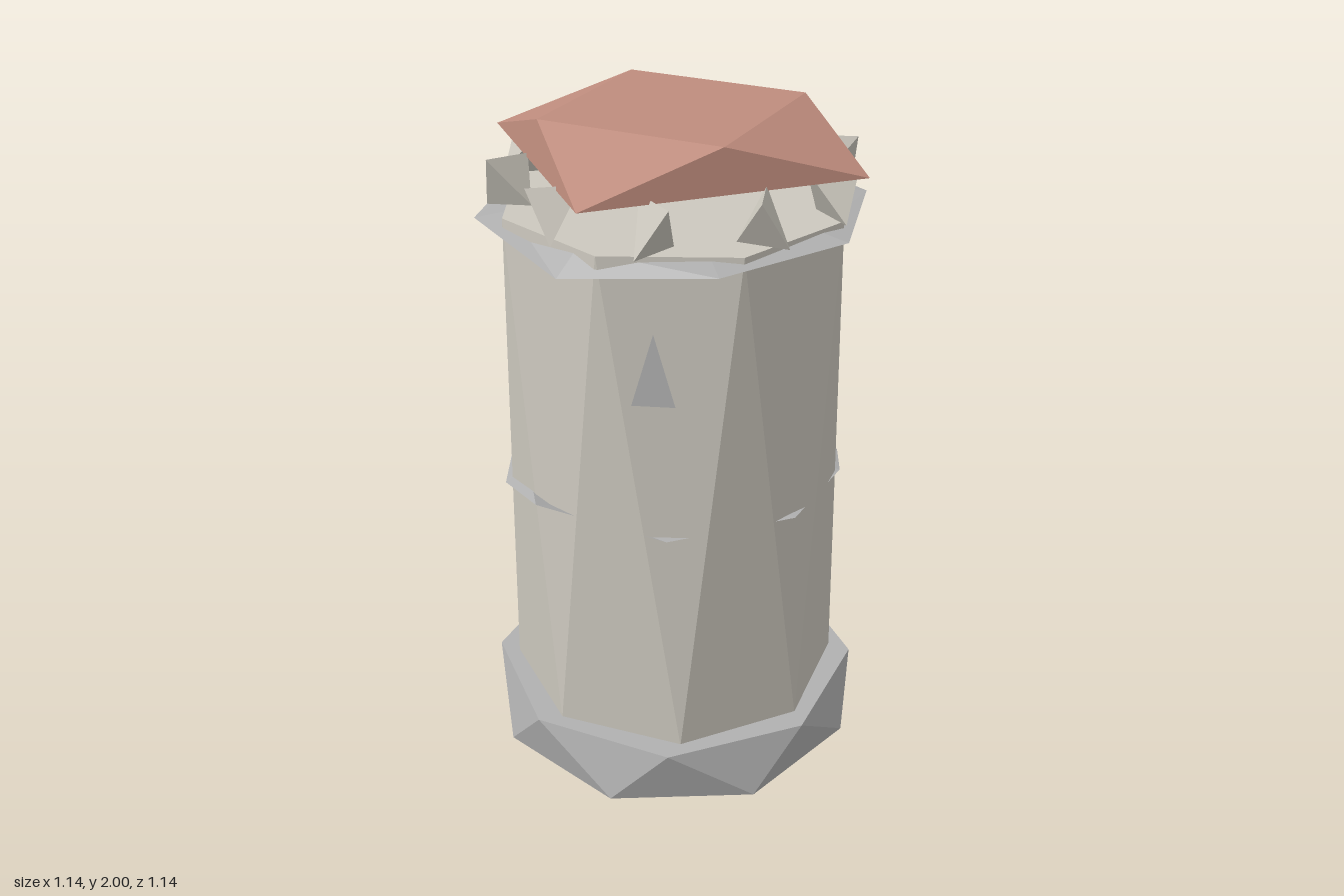
import * as THREE from 'three';
import { ConvexGeometry } from 'three/addons/geometries/ConvexGeometry.js';

const material = (color) => new THREE.MeshStandardMaterial({ color, flatShading: true, side: THREE.DoubleSide });

// Point on a circle; the angle runs in degrees from the front (+z) towards +x
function polar(angle, radius, y) {
  const a = THREE.MathUtils.degToRad(angle);
  return new THREE.Vector3(Math.sin(a) * radius, y, Math.cos(a) * radius);
}

// Twisted prism: two n-sided rings joined by triangles
function twistedPrism(n, bottom, top) {
  const points = [];
  for (const [radius, y, offset] of [bottom, top]) {
    for (let i = 0; i < n; i++) points.push(polar(offset + (i * 360) / n, radius, y));
  }
  return new ConvexGeometry(points);
}

// Sharp-edged ledge round the wall; outline entries are [angle, radius, y]
function ledge(outline, inner, low, high) {
  const pos = [];
  const tri = (...pts) => pts.forEach((p) => pos.push(p.x, p.y, p.z));
  outline.forEach(([a, r, y], i) => {
    const [b, r2, y2] = outline[(i + 1) % outline.length];
    const p = polar(a, r, y), q = polar(b, r2, y2);
    const pt = polar(a, inner, high), qt = polar(b, inner, high);
    const pb = polar(a, inner, low), qb = polar(b, inner, low);
    tri(p, q, pt);
    tri(q, qt, pt);
    tri(p, pb, q);
    tri(q, pb, qb);
  });
  const geometry = new THREE.BufferGeometry();
  geometry.setAttribute('position', new THREE.Float32BufferAttribute(pos, 3));
  geometry.computeVertexNormals();
  return geometry;
}

// Wedge made from opposite diagonals of a small block
function wedge(w, h, d, flip) {
  const s = flip ? -1 : 1;
  return new ConvexGeometry([
    new THREE.Vector3(-w / 2, 0, (-s * d) / 2), new THREE.Vector3(w / 2, 0, (s * d) / 2),
    new THREE.Vector3(-w / 2, h, (s * d) / 2), new THREE.Vector3(w / 2, h, (-s * d) / 2),
  ]);
}

export function createModel() {
  const model = new THREE.Group();
  const stone = material(0xccc8be);
  const trim = material(0xb0b0b0);
  const tile = material(0xbe8c7d);

  const add = (name, geometry, mat, parent = model) => {
    const mesh = new THREE.Mesh(geometry, mat);
    mesh.name = name;
    parent.add(mesh);
    return mesh;
  };

  // Foundation and wall
  add('base', twistedPrism(8, [0.57, 0, 13.5], [0.57, 0.185, -13.5]), trim);
  add('wall', twistedPrism(8, [0.507, 0.18, -9.5], [0.507, 1.737, 9.5]), stone);

  // Ledge halfway up, waving on two opposite sides
  const half = [[31, 0.513, 0.9], [70, 0.508, 0.89], [90, 0.522, 0.862], [121, 0.54, 0.935], [166, 0.513, 0.9]];
  const band = [...half, ...half.map(([a, r, y]) => [a + 180, r, y])];
  add('middleLedge', ledge(band, 0.45, 0.892, 0.902), trim);

  // Ledge under the parapet with one sagging corner
  const rim = [];
  for (let i = 0; i < 8; i++) rim.push([i * 45, i % 2 ? 0.56 : 0.57, i === 7 ? 1.675 : 1.714]);
  add('topLedge', ledge(rim, 0.47, 1.7, 1.728), trim);

  // Parapet blocks in a ring
  const parapet = new THREE.Group();
  parapet.name = 'parapet';
  model.add(parapet);
  for (let i = 0; i < 10; i++) {
    const angle = 18 + i * 36;
    const side = angle % 180 === 90;
    const block = add('parapetBlock', wedge(side ? 0.04 : 0.09, 0.14, 0.12, i % 2), stone, parapet);
    block.position.copy(polar(angle, 0.47, 1.745));
    block.rotation.y = THREE.MathUtils.degToRad(angle);
  }

  // Roof: a flat square top turned against wider eaves
  add('roof', twistedPrism(4, [0.577, 1.875, 53], [0.393, 2, 7.5]), tile);

  // Narrow windows: [angle, base height, tip height, width]
  for (const [angle, base, tip, width] of [[-18, 1.32, 1.53, 0.12], [112, 1.32, 1.18, 0.07], [-110, 0.74, 0.57, 0.07]]) {
    const slit = new ConvexGeometry([
      new THREE.Vector3(-width / 2, base, 0.505), new THREE.Vector3(width / 2, base, 0.505),
      new THREE.Vector3(0, tip, 0.5), new THREE.Vector3(0, base, 0.46),
    ]);
    add('window', slit, trim).rotation.y = THREE.MathUtils.degToRad(angle);
  }

  return model;
}
